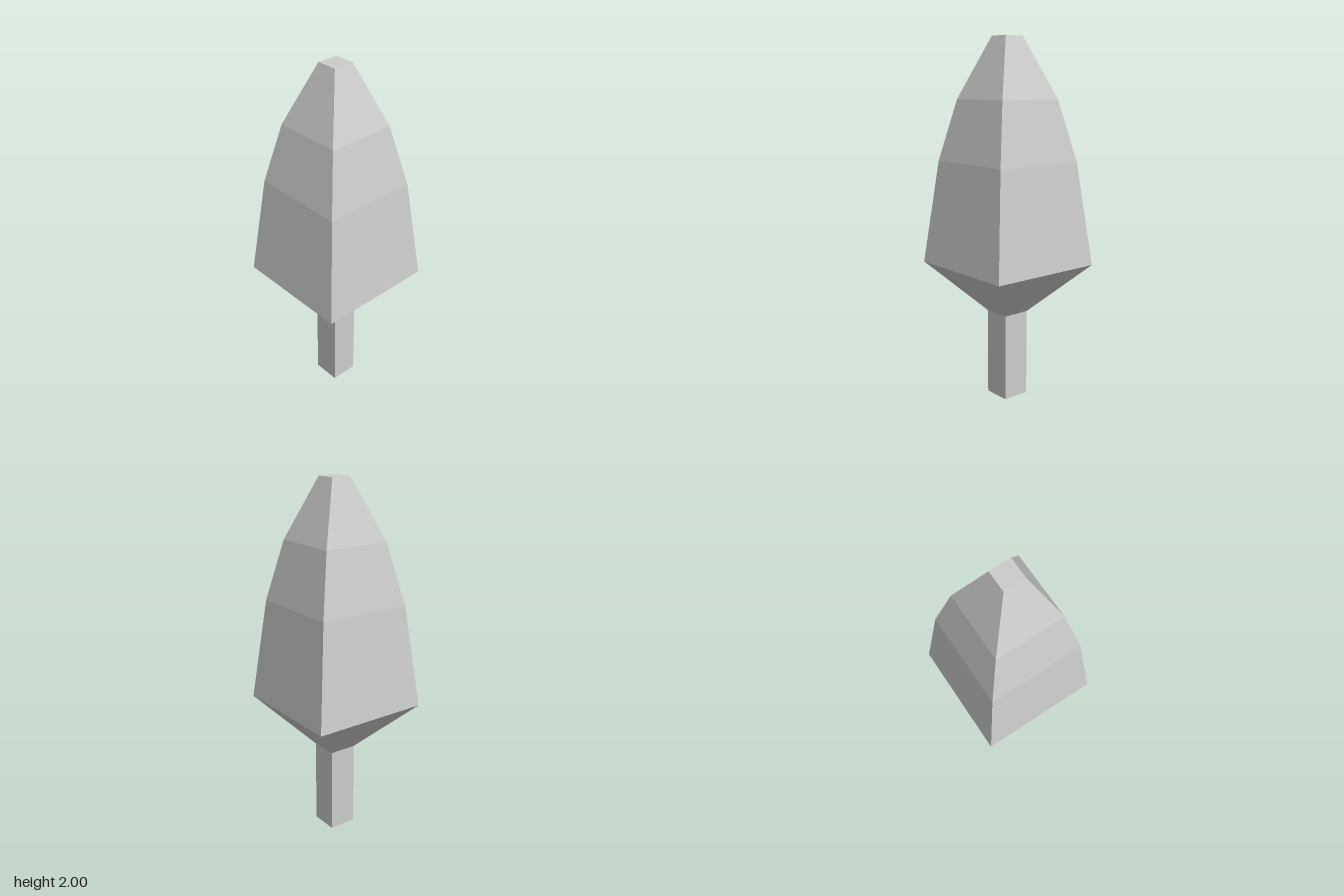
import * as THREE from 'three';

const material = new THREE.MeshStandardMaterial({ color: 0xcccccc, flatShading: true });

// Square column through a bottom-to-top profile of [half width, height] levels.
function squareColumn(name, profile) {
  const rows = profile.length - 1;
  const column = new THREE.CylinderGeometry(Math.SQRT2, Math.SQRT2, rows, 4, rows, false, Math.PI / 4);
  const pos = column.attributes.position;
  for (let i = 0; i < pos.count; i++) {
    const [half, y] = profile[Math.round(pos.getY(i) + rows / 2)];
    pos.setXYZ(i, pos.getX(i) * half, y, pos.getZ(i) * half);
  }
  const geometry = column.toNonIndexed();
  geometry.computeVertexNormals();
  const mesh = new THREE.Mesh(geometry, material);
  mesh.name = name;
  return mesh;
}

export function createModel() {
  const tree = new THREE.Group();
  tree.name = 'tree';

  // Straight square trunk
  tree.add(squareColumn('trunk', [[0.078, 0], [0.078, 0.488]]));

  // Crown flares out from the trunk, then tapers to a small flat top
  tree.add(squareColumn('foliage', [
    [0.078, 0.488], [0.333, 0.764], [0.267, 1.336], [0.192, 1.67], [0.058, 2],
  ]));

  return tree;
}
